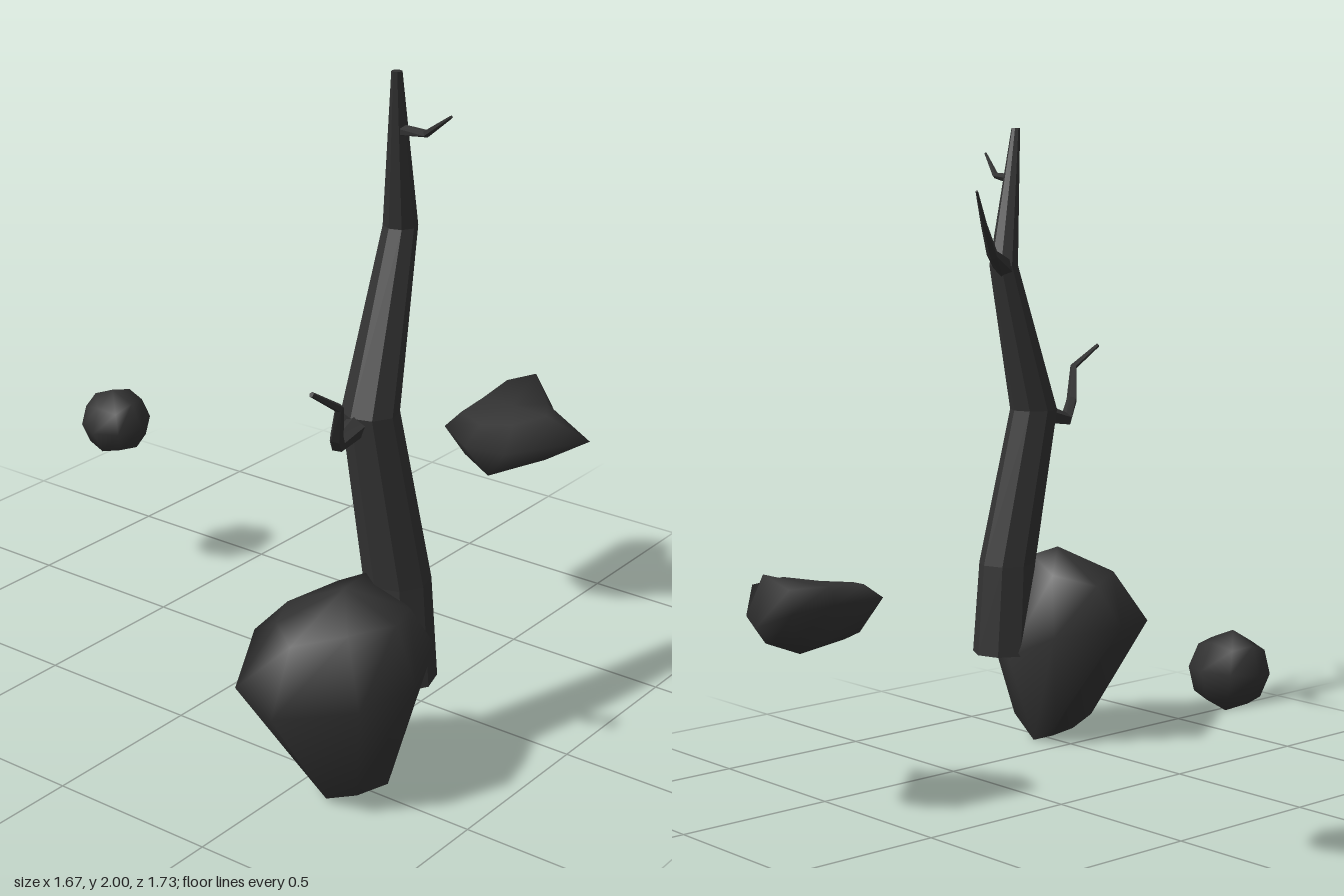
import * as THREE from 'three';
import { mergeVertices } from 'three/addons/utils/BufferGeometryUtils.js';

const rockMaterial = new THREE.MeshStandardMaterial({ color: 0x333333, roughness: 0.9 });
const barkMaterial = new THREE.MeshStandardMaterial({ color: 0x333333, roughness: 0.9, flatShading: true });

// Skin a list of equal-sided rings, closed by a pole point at each end.
function loft(startPole, rings, endPole) {
  const n = rings[0].length;
  const positions = [startPole, ...rings.flat(), endPole].flat();
  const last = rings.length * n + 1;
  const index = [];
  for (let i = 0; i < n; i++) {
    const j = (i + 1) % n;
    index.push(0, 1 + j, 1 + i);
    for (let r = 0; r < rings.length - 1; r++) {
      const a = 1 + r * n, b = a + n;
      index.push(a + i, a + j, b + j, a + i, b + j, b + i);
    }
    index.push(last - n + i, last - n + j, last);
  }
  const geometry = new THREE.BufferGeometry();
  geometry.setAttribute('position', new THREE.Float32BufferAttribute(positions, 3));
  geometry.setIndex(index);
  geometry.computeVertexNormals();
  return geometry;
}

// Tapered limb along [x, y, z, radius] stations; level rings for the trunk.
function limb(stations, sides, level = false) {
  const pts = stations.map(([x, y, z]) => new THREE.Vector3(x, y, z));
  const rings = pts.map((p, k) => {
    const t = level
      ? new THREE.Vector3(0, 1, 0)
      : pts[Math.min(k + 1, pts.length - 1)].clone().sub(pts[Math.max(k - 1, 0)]).normalize();
    const u = new THREE.Vector3(0.3, 0, 1).cross(t).normalize();
    const v = t.clone().cross(u);
    return Array.from({ length: sides }, (_, i) => {
      const a = ((i + 0.5) / sides) * Math.PI * 2;
      return p.clone()
        .addScaledVector(u, Math.cos(a) * stations[k][3])
        .addScaledVector(v, Math.sin(a) * stations[k][3])
        .toArray();
    });
  });
  return loft(pts[0].toArray(), rings, pts[pts.length - 1].toArray());
}

export function createModel() {
  const model = new THREE.Group();
  const add = (parent, name, geometry, material) => {
    const mesh = new THREE.Mesh(geometry, material);
    mesh.name = name;
    parent.add(mesh);
    return mesh;
  };

  // Bare tree
  const tree = new THREE.Group();
  tree.name = 'deadTree';
  model.add(tree);
  add(tree, 'trunk', limb([
    [-0.365, 0.305, 0.68, 0.1],
    [-0.375, 0.6, 0.67, 0.092],
    [-0.46, 1.1, 0.635, 0.077],
    [-0.325, 1.57, 0.625, 0.046],
    [-0.42, 2, 0.673, 0.014],
  ], 8, true), barkMaterial);

  const branches = {
    lowerBranch: [
      [-0.46, 1.09, 0.63, 0.04], [-0.61, 1.055, 0.64, 0.022], [-0.68, 1.11, 0.69, 0.018],
      [-0.73, 1.215, 0.735, 0.012], [-0.83, 1.28, 0.725, 0.007],
    ],
    middleBranch: [
      [-0.33, 1.555, 0.62, 0.035], [-0.205, 1.61, 0.54, 0.018],
      [-0.12, 1.705, 0.48, 0.01], [-0.04, 1.81, 0.42, 0.004],
    ],
    upperBranch: [
      [-0.385, 1.84, 0.65, 0.017], [-0.405, 1.85, 0.755, 0.01], [-0.455, 1.92, 0.862, 0.004],
    ],
  };
  for (const [name, stations] of Object.entries(branches)) {
    add(tree, name, limb(stations, 5), barkMaterial);
  }

  // Large boulder behind the trunk; rings run from top to bottom
  add(model, 'largeRock', loft([-0.57, 0.635, 0.64], [
    [[-0.56, 0.53, 0.44], [-0.44, 0.57, 0.52], [-0.44, 0.625, 0.62], [-0.44, 0.56, 0.76],
      [-0.56, 0.57, 0.8], [-0.69, 0.57, 0.74], [-0.77, 0.53, 0.61], [-0.71, 0.55, 0.52]],
    [[-0.56, 0.41, 0.325], [-0.39, 0.38, 0.46], [-0.335, 0.3, 0.62], [-0.38, 0.44, 0.8],
      [-0.56, 0.41, 0.865], [-0.72, 0.38, 0.8], [-0.835, 0.34, 0.6], [-0.81, 0.38, 0.46]],
    [[-0.54, 0.25, 0.46], [-0.45, 0.07, 0.52], [-0.445, 0.005, 0.62], [-0.44, 0.08, 0.71],
      [-0.53, 0.07, 0.76], [-0.63, 0.07, 0.73], [-0.62, 0.015, 0.62], [-0.62, 0.08, 0.53]],
  ], [-0.53, 0.005, 0.62]), rockMaterial);

  // Wedge-shaped rock with a slightly hollow top
  add(model, 'wedgeRock', loft([0.65, 0.705, 0.37], [
    [[0.64, 0.71, 0.27], [0.79, 0.72, 0.26], [0.815, 0.755, 0.35], [0.74, 0.7, 0.44],
      [0.64, 0.705, 0.5], [0.55, 0.69, 0.44], [0.49, 0.69, 0.36], [0.52, 0.7, 0.27]],
    [[0.64, 0.66, 0.245], [0.79, 0.65, 0.25], [0.835, 0.6, 0.365], [0.805, 0.62, 0.45],
      [0.64, 0.66, 0.655], [0.455, 0.63, 0.47], [0.415, 0.64, 0.355], [0.475, 0.66, 0.24]],
    [[0.64, 0.55, 0.29], [0.75, 0.57, 0.28], [0.77, 0.55, 0.37], [0.74, 0.53, 0.45],
      [0.64, 0.56, 0.5], [0.55, 0.55, 0.45], [0.51, 0.52, 0.38], [0.53, 0.56, 0.28]],
  ], [0.67, 0.5, 0.38]), rockMaterial);

  // Small round stone: a subdivided cube pushed out to a sphere
  const ball = new THREE.BoxGeometry(1, 1, 1, 2, 2, 2);
  ball.deleteAttribute('uv');
  ball.deleteAttribute('normal');
  const stoneGeometry = mergeVertices(ball);
  const p = stoneGeometry.attributes.position;
  const v = new THREE.Vector3();
  for (let i = 0; i < p.count; i++) {
    v.fromBufferAttribute(p, i).setLength(0.109);
    p.setXYZ(i, v.x, v.y, v.z);
  }
  stoneGeometry.computeVertexNormals();
  const stone = add(model, 'roundStone', stoneGeometry, rockMaterial);
  stone.position.set(0.085, 0.555, -0.76);
  stone.rotation.z = 0.12;

  return model;
}
